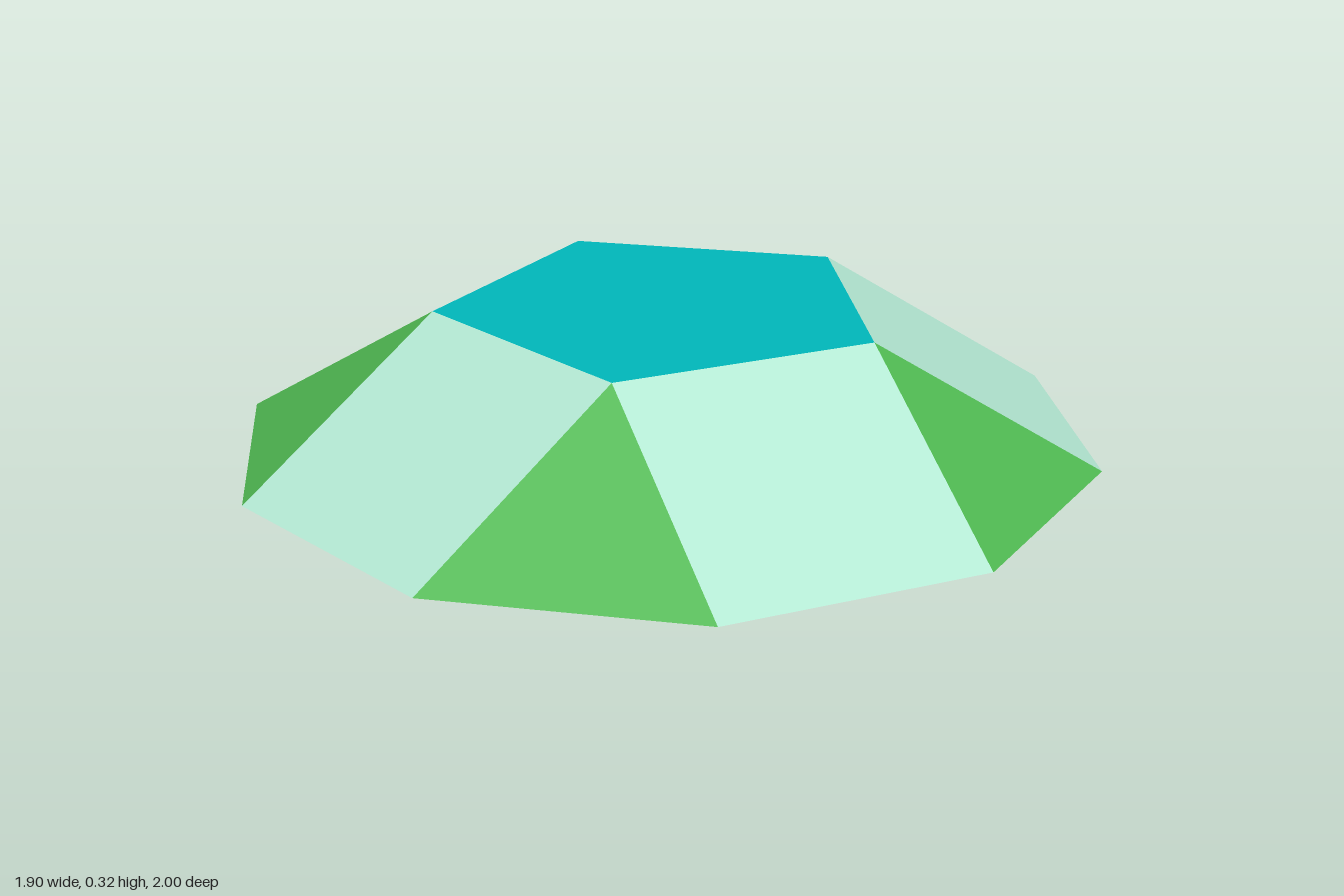
import * as THREE from 'three';

const flat = (name, color) => {
  const m = new THREE.MeshStandardMaterial({ color, flatShading: true });
  m.name = name;
  return m;
};

// Fan of triangles over convex polygons whose corners run counter-clockwise from outside
function facetMesh(name, polygons, material) {
  const points = [];
  for (const p of polygons)
    for (let i = 1; i < p.length - 1; i++) points.push(p[0], p[i], p[i + 1]);
  const geometry = new THREE.BufferGeometry().setFromPoints(points);
  geometry.computeVertexNormals();
  const mesh = new THREE.Mesh(geometry, material);
  mesh.name = name;
  return mesh;
}

// Regular ring of corners, counter-clockwise seen from above
function ring(count, radius, y, start) {
  return Array.from({ length: count }, (_, i) => {
    const a = start + (i / count) * Math.PI * 2;
    return new THREE.Vector3(radius * Math.cos(a), y, -radius * Math.sin(a));
  });
}

export function createModel() {
  const teal = flat('teal', 0x00b7ba);
  const mint = flat('mint', 0xb3e8d3);
  const green = flat('green', 0x4fb851);
  const brightGreen = flat('brightGreen', 0x43c443);

  // All edges of the cupola are equal
  const edge = 2 * Math.sin(Math.PI / 10);
  const topRadius = edge / (2 * Math.sin(Math.PI / 5));
  const height = edge * Math.sqrt((5 - Math.sqrt(5)) / 10);
  const top = ring(5, topRadius, height, Math.PI);
  const base = ring(10, 1, 0, Math.PI - Math.PI / 10);

  // Triangles hang from the top corners, squares from the top edges
  const triangles = [], squares = [];
  for (let i = 0; i < 5; i++) {
    const [b0, b1, b2] = [0, 1, 2].map(k => base[(2 * i + k) % 10]);
    triangles.push([top[i], b0, b1]);
    squares.push([top[i], b1, b2, top[(i + 1) % 5]]);
  }

  const group = new THREE.Group();
  group.name = 'pentagonalCupola';
  group.add(
    facetMesh('topPentagon', [top], teal),
    facetMesh('sideSquares', squares, mint),
    facetMesh('sideTriangles', triangles, green),
    facetMesh('baseDecagon', [[...base].reverse()], brightGreen)
  );
  return group;
}
